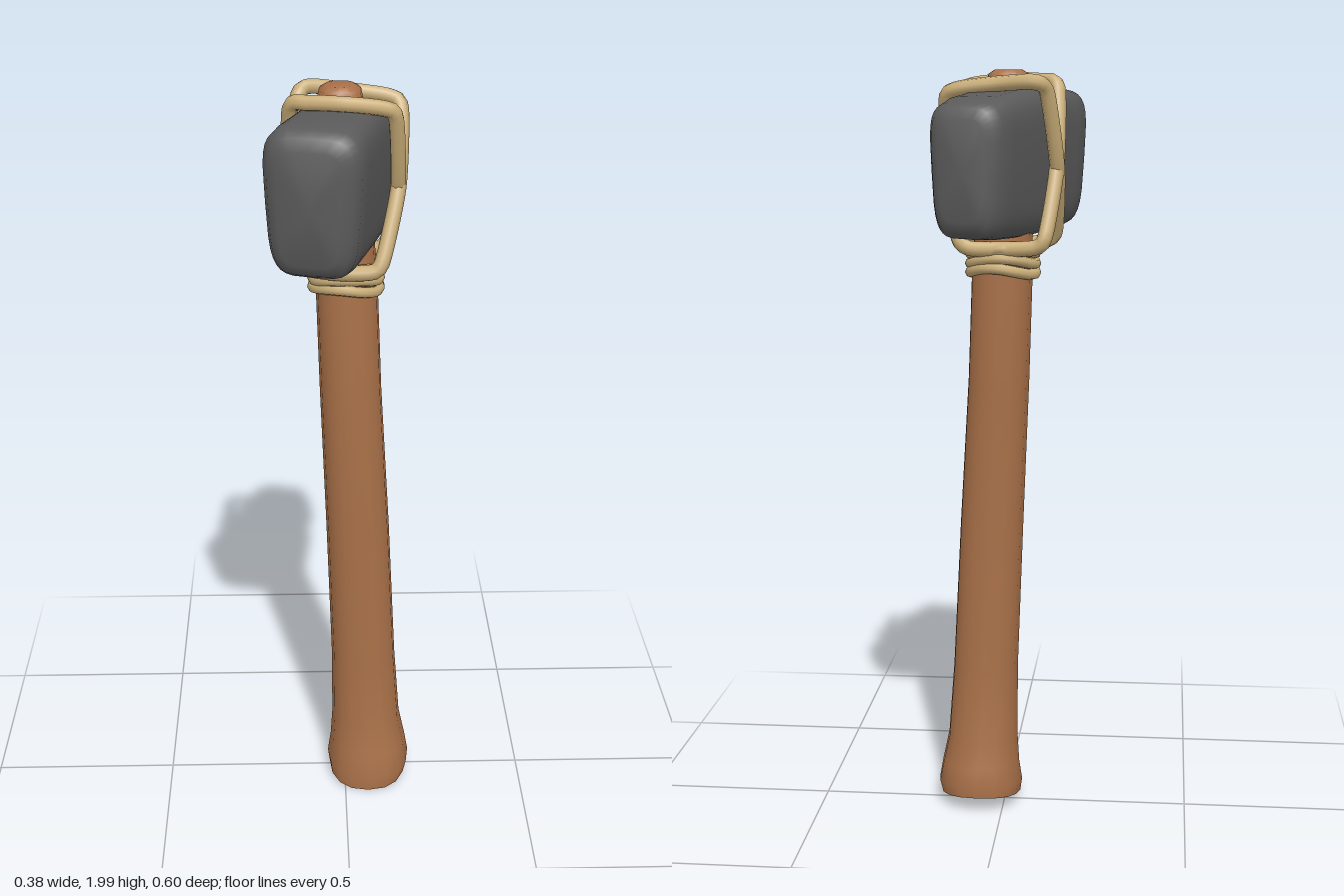
import * as THREE from 'three';
import { toCreasedNormals } from 'three/addons/utils/BufferGeometryUtils.js';

const wood = new THREE.MeshStandardMaterial({ name: 'wood', color: 0xa87048 });
const stone = new THREE.MeshStandardMaterial({ name: 'stone', color: 0x5a5a5a });
const rope = new THREE.MeshStandardMaterial({ name: 'rope', color: 0xc9ad78 });

// Closed skin over rings stacked along y: [y, centreX, centreZ, radiusX, radiusZ, tilt]
function loft(rings, sides, power) {
  const pos = [];
  const index = [];
  const squash = (v) => Math.sign(v) * Math.abs(v) ** power;
  for (const [y, cx, cz, rx, rz, tilt = 0] of rings) {
    for (let j = 0; j < sides; j++) {
      const a = (j / sides) * Math.PI * 2;
      const dz = rz * squash(Math.sin(a));
      pos.push(cx + rx * squash(Math.cos(a)), y + tilt * dz, cz + dz);
    }
  }
  const last = rings.length - 1;
  for (let i = 0; i < last; i++) {
    for (let j = 0; j < sides; j++) {
      const a = i * sides + j;
      const b = i * sides + ((j + 1) % sides);
      index.push(a, a + sides, b, b, a + sides, b + sides);
    }
  }
  // End caps
  const low = pos.length / 3;
  for (const r of [rings[0], rings[last]]) pos.push(r[1], r[0], r[2]);
  for (let j = 0; j < sides; j++) {
    const k = (j + 1) % sides;
    index.push(low, j, k, low + 1, last * sides + k, last * sides + j);
  }
  const geo = new THREE.BufferGeometry();
  geo.setAttribute('position', new THREE.Float32BufferAttribute(pos, 3));
  geo.setIndex(index);
  return geo;
}

function addMesh(parent, name, geo, material) {
  const mesh = new THREE.Mesh(geo, material);
  mesh.name = name;
  parent.add(mesh);
  return mesh;
}

function closedTube(points, radius, tension, segments) {
  const path = new THREE.CatmullRomCurve3(
    points.map((p) => new THREE.Vector3(...p)), true, 'catmullrom', tension);
  return new THREE.TubeGeometry(path, segments, radius, 8, true);
}

export function createModel() {
  const model = new THREE.Group();
  model.name = 'stoneHammer';

  // Bent handle with a flared, slanted foot
  const handle = loft([
    [0.03, 0.065, 0.01, 0.108, 0.125, -0.17],
    [0.065, 0.067, 0.01, 0.115, 0.126, -0.14],
    [0.12, 0.066, 0.008, 0.106, 0.115, -0.08],
    [0.2, 0.06, 0.009, 0.095, 0.1],
    [0.4, 0.052, 0.01, 0.088, 0.091],
    [0.8, 0.035, 0.012, 0.085, 0.087],
    [1.2, 0.015, 0.005, 0.081, 0.088],
    [1.48, 0.005, -0.006, 0.08, 0.087],
    [1.75, -0.005, -0.01, 0.07, 0.075],
    [1.96, -0.012, -0.01, 0.058, 0.061],
    [1.99, -0.012, -0.01, 0.052, 0.055],
    [2.0, -0.012, -0.01, 0.036, 0.038],
  ], 16, 0.85);
  addMesh(model, 'handle', toCreasedNormals(handle, 0.9), wood);

  // Rounded stone block, lofted lengthwise; ring z is minus the height
  const block = loft([
    [-0.298, 0.012, 0.012, 0.06, 0.125],
    [-0.288, 0.012, 0.012, 0.08, 0.153],
    [-0.262, 0.01, 0.012, 0.095, 0.167],
    [-0.2, 0.008, 0.008, 0.101, 0.178],
    [0, 0.002, 0, 0.107, 0.193],
    [0.2, -0.003, -0.004, 0.118, 0.188],
    [0.255, -0.005, -0.005, 0.118, 0.182],
    [0.28, -0.005, -0.003, 0.104, 0.168],
    [0.292, -0.005, 0, 0.08, 0.14],
  ], 32, 0.45);
  block.rotateX(Math.PI / 2);
  // The block narrows slightly towards its underside
  const p = block.attributes.position;
  for (let i = 0; i < p.count; i++) p.setX(i, p.getX(i) * (1 + 0.5 * p.getY(i)));
  const head = addMesh(model, 'stoneHead', toCreasedNormals(block, 1.0), stone);
  head.position.set(-0.01, 1.765, 0);
  head.rotation.y = -0.27;

  // Two rope loops that cross on both sides of the head
  const lashing = new THREE.Group();
  lashing.name = 'lashing';
  model.add(lashing);
  addMesh(lashing, 'frontTopLoop', closedTube([
    [-0.135, 1.955, 0.045], [-0.09, 1.972, 0.072], [-0.01, 1.974, 0.093],
    [0.09, 1.962, 0.088], [0.122, 1.935, 0.075],
    [0.132, 1.75, 0.015],
    [0.115, 1.585, -0.08], [0.085, 1.55, -0.092], [0, 1.547, -0.09],
    [-0.09, 1.553, -0.1], [-0.115, 1.585, -0.1],
    [-0.138, 1.75, -0.035],
  ], 0.02, 0.35, 96), rope);
  addMesh(lashing, 'backTopLoop', closedTube([
    [-0.118, 1.94, -0.1], [-0.09, 1.968, -0.124], [0, 1.965, -0.102],
    [0.11, 1.952, -0.088], [0.142, 1.925, -0.07],
    [0.134, 1.75, 0.015],
    [0.095, 1.585, 0.085], [0.07, 1.55, 0.095], [-0.02, 1.547, 0.092],
    [-0.1, 1.555, 0.075], [-0.13, 1.585, 0.06],
    [-0.14, 1.75, -0.035],
  ], 0.02, 0.35, 96), rope);

  // Wavy wraps around the handle below the head
  for (let i = 0; i < 3; i++) {
    const ring = [];
    for (let j = 0; j < 12; j++) {
      const a = (j / 12) * Math.PI * 2;
      ring.push([
        0.003 + 0.086 * Math.cos(a),
        1.488 + i * 0.026 + 0.01 * Math.cos(2 * a + 2.6 + i * 0.5),
        -0.006 + 0.092 * Math.sin(a),
      ]);
    }
    addMesh(lashing, 'handleWrap', closedTube(ring.reverse(), 0.014, 0.5, 48), rope);
  }
  return model;
}
